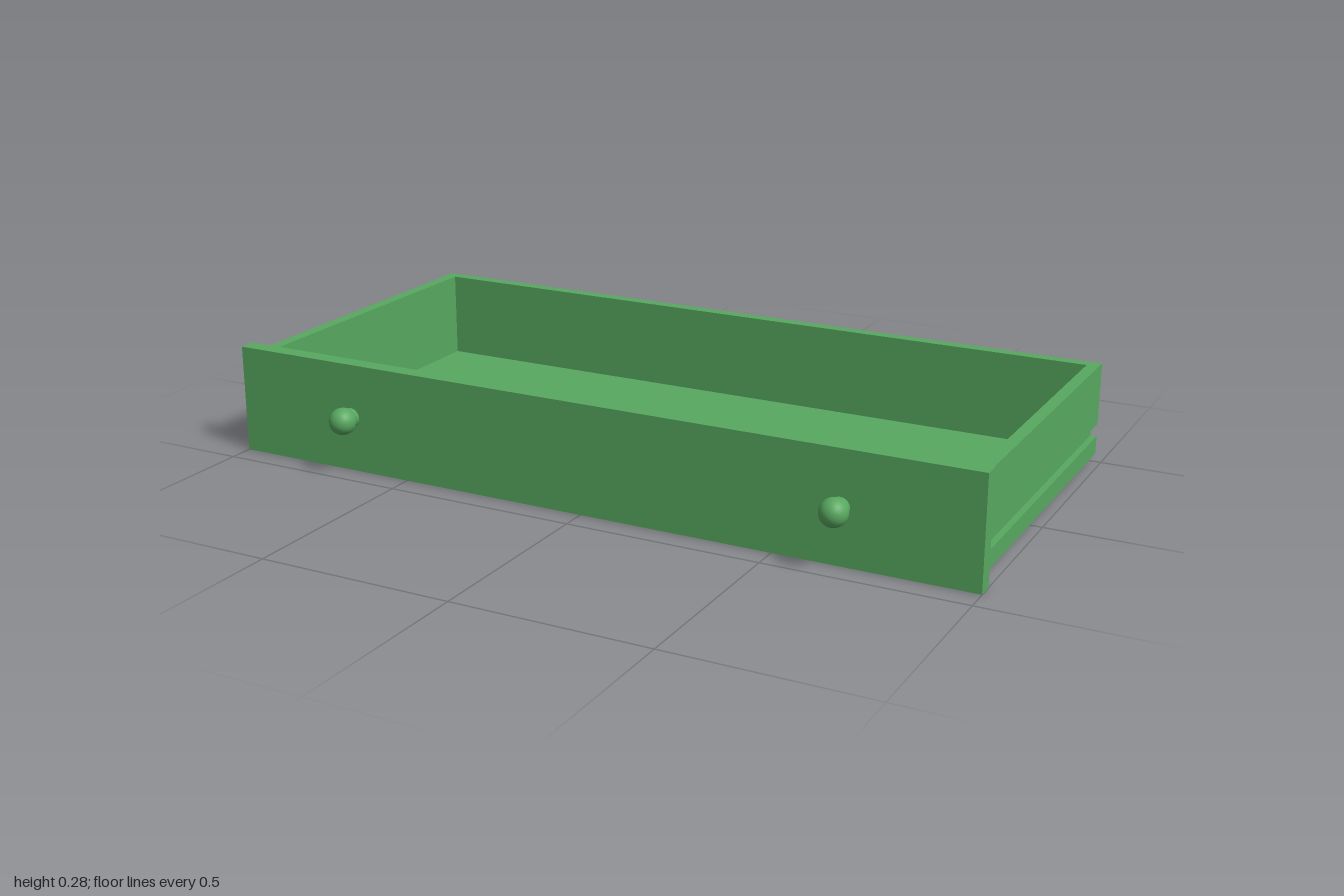
import * as THREE from 'three';

export function createModel() {
  const group = new THREE.Group();
  const green = new THREE.MeshStandardMaterial({ color: 0x58a860 });

  const add = (name, geometry, x = 0, y = 0, z = 0) => {
    const mesh = new THREE.Mesh(geometry, green);
    mesh.name = name;
    mesh.position.set(x, y, z);
    group.add(mesh);
    return mesh;
  };
  // Box given by its limits on each axis
  const box = (name, x0, x1, y0, y1, z0, z1) =>
    add(name, new THREE.BoxGeometry(x1 - x0, y1 - y0, z1 - z0),
      (x0 + x1) / 2, (y0 + y1) / 2, (z0 + z1) / 2);

  const outer = 0.983, inner = 0.952, groove = 0.967;
  const bottom = 0.02, top = 0.262, back = -0.505, front = 0.393;

  box('frontPanel', -1, 1, 0, 0.28, front, 0.436);
  box('innerFrontWall', -inner, inner, bottom, top, 0.361, front);
  box('backWall', -inner, inner, bottom, top, back, back + 0.031);
  box('floor', -inner, inner, bottom, 0.032, back + 0.031, 0.361);

  // Side walls, with a runner groove along the outside
  for (const s of [1, -1]) {
    const profile = new THREE.Shape([
      [inner, bottom], [outer, bottom], [outer, 0.067], [groove, 0.067],
      [groove, 0.1], [outer, 0.1], [outer, top], [inner, top],
    ].map(([x, y]) => new THREE.Vector2(s * x, y)));
    add(s > 0 ? 'leftWall' : 'rightWall',
      new THREE.ExtrudeGeometry(profile, { depth: front - back, bevelEnabled: false }), 0, 0, back);
  }

  // Turned knobs: a short neck running into a ball
  const r = 0.0345, centre = 0.0345;
  const knobProfile = [new THREE.Vector2(0.025, 0), new THREE.Vector2(0.025, 0.006)];
  for (let i = 0; i <= 14; i++) {
    const a = THREE.MathUtils.lerp(-0.75, Math.PI / 2, i / 14);
    knobProfile.push(new THREE.Vector2(Math.max(0, r * Math.cos(a)), centre + r * Math.sin(a)));
  }
  const knob = new THREE.LatheGeometry(knobProfile, 32).rotateX(Math.PI / 2);
  for (const s of [1, -1]) add(s > 0 ? 'leftKnob' : 'rightKnob', knob, s * 0.664, 0.141, 0.436);

  return group;
}
